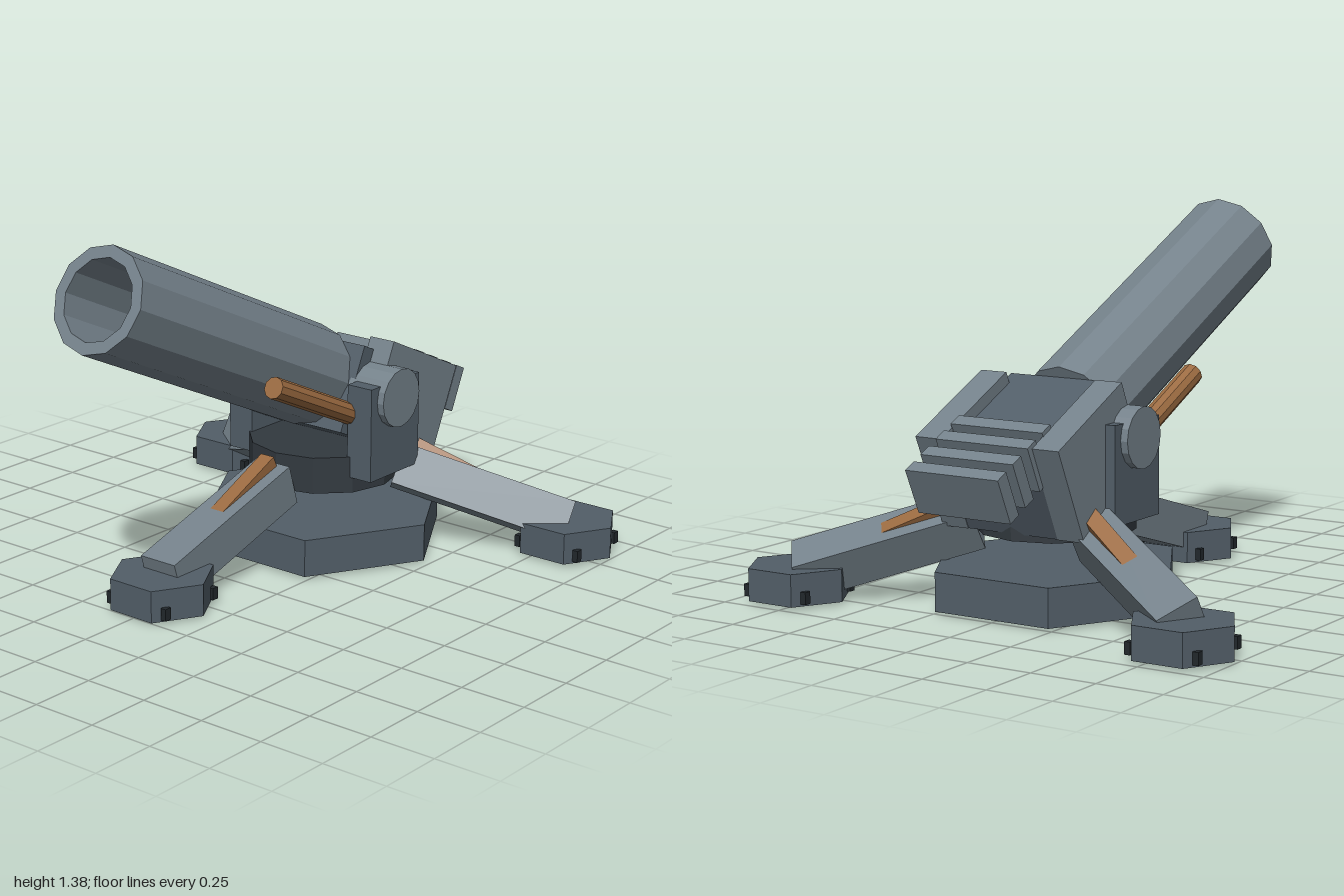
import * as THREE from 'three';

const mat = (color) => new THREE.MeshStandardMaterial({ color, flatShading: true });
const LIGHT = mat(0x74818a), MID = mat(0x525e68), DARK = mat(0x32393f), BLACK = mat(0x22282c), BROWN = mat(0x9a6a40);

function add(parent, name, geometry, material, x = 0, y = 0, z = 0) {
  const mesh = new THREE.Mesh(geometry, material);
  mesh.name = name;
  mesh.position.set(x, y, z);
  parent.add(mesh);
  return mesh;
}
const box = (w, h, d) => new THREE.BoxGeometry(w, h, d);
// hexagonal slab with corners on +x and -x
const hex = (r, h) => new THREE.CylinderGeometry(r, r, h, 6).rotateY(Math.PI / 6);

// sloping leg with its wooden brace, foot pad and bolts
function buildLeg(parent, angle, roll) {
  const turn = new THREE.Group();
  turn.name = 'leg';
  turn.rotation.y = angle;
  turn.position.z = -0.34;
  parent.add(turn);

  const beam = new THREE.Group();
  beam.name = 'legBeam';
  beam.position.set(0, 0.212, 0.61);
  beam.rotation.set(0.295, 0, roll);
  turn.add(beam);
  add(beam, 'legBar', box(0.16, 0.16, 0.68), LIGHT);
  add(beam, 'legBrace', box(0.06, 0.06, 0.33), BROWN, 0, 0.072, -0.16).rotation.x = 0.14;

  const foot = new THREE.Group();
  foot.name = 'foot';
  foot.position.set(0.935 * Math.sin(angle), 0, -0.34 + 0.935 * Math.cos(angle));
  parent.add(foot);
  add(foot, 'footPad', hex(0.195, 0.12), MID, 0, 0.08, 0);
  for (const sx of [-1, 1]) for (const sz of [-1, 1]) {
    add(foot, 'footBolt', box(0.022, 0.045, 0.028), BLACK, sx * 0.13, 0.052, sz * 0.128);
  }
}

export function createModel() {
  const model = new THREE.Group();
  model.name = 'mortar';

  // ground plate and turntable
  add(model, 'basePlate', hex(0.48, 0.143), MID, 0, 0.0925, -0.34);
  add(model, 'turntable', new THREE.CylinderGeometry(0.29, 0.29, 0.14, 12), DARK, 0, 0.35, -0.34);

  // three legs, the rear pair rolled backwards
  buildLeg(model, 0, 0);
  buildLeg(model, Math.PI * 2 / 3, -0.47);
  buildLeg(model, -Math.PI * 2 / 3, 0.47);

  // cheeks and trunnions
  for (const s of [-1, 1]) {
    add(model, 'cheek', box(0.11, 0.36, 0.295), MID, s * 0.285, 0.52, -0.335);
    add(model, 'trunnion', new THREE.CylinderGeometry(0.112, 0.112, 0.17, 16).rotateZ(Math.PI / 2),
      LIGHT, s * 0.283, 0.64, -0.335);
  }

  // elevating part, pivoting on the trunnions, barrel along +z
  const gun = new THREE.Group();
  gun.name = 'elevatingGun';
  gun.position.set(0, 0.64, -0.335);
  gun.rotation.x = -25 * Math.PI / 180;
  model.add(gun);

  // hollow barrel
  const profile = [[0, 0.108], [0.195, 0.108], [0.195, 1.365], [0.15, 1.365], [0.15, 0.25], [0, 0.25]]
    .map(([r, y]) => new THREE.Vector2(r, y));
  add(gun, 'barrel', new THREE.LatheGeometry(profile, 12).rotateX(Math.PI / 2), LIGHT);

  // breech: dark core between lighter side blocks
  add(gun, 'breechCore', box(0.44, 0.335, 0.505), MID, 0, -0.0175, -0.145);
  for (const s of [-1, 1]) {
    add(gun, 'breechSide', box(0.11, 0.38, 0.446), LIGHT, s * 0.245, 0.005, -0.177);
    add(gun, 'recoilCylinder', new THREE.CylinderGeometry(0.041, 0.041, 0.58, 10).rotateX(Math.PI / 2),
      BROWN, s * 0.225, -0.107, 0.294);
  }

  // row of fins behind the breech
  for (let i = 0; i < 4; i++) {
    add(gun, 'breechFin', box(0.385, 0.177, 0.055), LIGHT, 0, 0.122, -0.297 - i * 0.0985);
  }
  return model;
}
